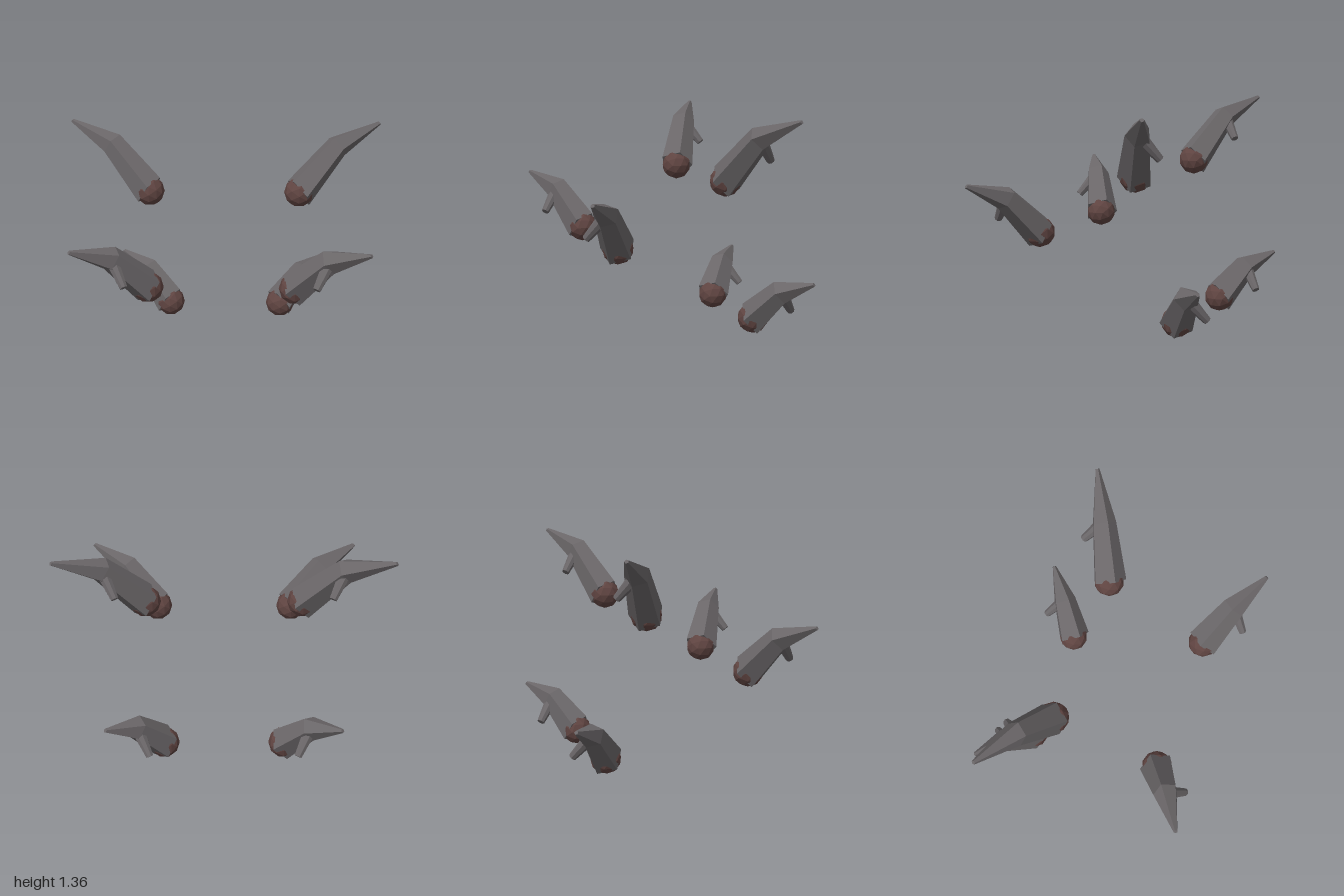
import * as THREE from 'three';

const SIDES = 5;
const hornMat = new THREE.MeshStandardMaterial({ color: 0x6a6668, flatShading: true });
const ballMat = new THREE.MeshStandardMaterial({ color: 0x5f4441, flatShading: true });

// Five-sided horn: rings of shrinking radius along base, bend and tip, capped at both ends
function hornGeometry(points, radii) {
  const dir = points[2].clone().sub(points[0]).normalize();
  const across = dir.clone().cross(new THREE.Vector3(0, 1, 0)).normalize();
  const up = across.clone().cross(dir);
  const pos = [];
  const index = [];
  points.forEach((p, i) => {
    for (let j = 0; j < SIDES; j++) {
      const a = (j / SIDES) * Math.PI * 2;
      const v = p.clone()
        .addScaledVector(across, Math.cos(a) * radii[i])
        .addScaledVector(up, Math.sin(a) * radii[i]);
      pos.push(v.x, v.y, v.z);
    }
  });
  const last = points.length - 1;
  pos.push(...points[0].toArray(), ...points[last].toArray());
  const baseCentre = points.length * SIDES;
  for (let j = 0; j < SIDES; j++) {
    const k = (j + 1) % SIDES;
    for (let i = 0; i < last; i++) {
      const a = i * SIDES + j, b = i * SIDES + k, c = a + SIDES, d = b + SIDES;
      index.push(a, c, b, b, c, d);
    }
    index.push(baseCentre, j, k);
    index.push(baseCentre + 1, last * SIDES + k, last * SIDES + j);
  }
  const g = new THREE.BufferGeometry();
  g.setAttribute('position', new THREE.Float32BufferAttribute(pos, 3));
  g.setIndex(index);
  const flat = g.toNonIndexed();
  flat.computeVertexNormals();
  return flat;
}

function add(group, name, geometry, material) {
  const mesh = new THREE.Mesh(geometry, material);
  mesh.name = name;
  group.add(mesh);
  return mesh;
}

// One spike: ball joint, bent horn and a small spur under the bend
function spike(name, base, tip) {
  const group = new THREE.Group();
  group.name = name;
  const span = tip.clone().sub(base);
  const bend = base.clone().lerp(tip, 0.47);
  bend.y += 0.13 * span.length();

  add(group, 'horn', hornGeometry([base, bend, tip], [0.108, 0.077, 0.013]), hornMat);
  add(group, 'ballJoint', new THREE.IcosahedronGeometry(0.095, 1), ballMat).position.copy(base);

  const spurDir = new THREE.Vector3(-0.08 * Math.sign(span.x), -0.14, 0.1 * Math.sign(span.z)).normalize();
  const length = 0.19;
  const spur = add(group, 'spur', new THREE.CylinderGeometry(0.024, 0.042, length, 8), hornMat);
  spur.quaternion.setFromUnitVectors(new THREE.Vector3(0, 1, 0), spurDir);
  spur.position.copy(bend).addScaledVector(spurDir, length / 2);
  return group;
}

export function createModel() {
  const model = new THREE.Group();
  model.name = 'spikes';
  // Three mirrored pairs: [name, base, tip] on the +x side
  const pairs = [
    ['upperSpike', [0.475, 0.968, -0.215], [0.99, 1.35, -0.48]],
    ['middleSpike', [0.44, 0.588, 0.44], [0.867, 0.91, 0.697]],
    ['lowerSpike', [0.37, 0.095, -0.44], [0.706, 0.353, -0.7]],
  ];
  for (const [name, b, t] of pairs) {
    for (const s of [1, -1]) {
      model.add(spike(
        (s > 0 ? 'left ' : 'right ') + name,
        new THREE.Vector3(b[0] * s, b[1], b[2]),
        new THREE.Vector3(t[0] * s, t[1], t[2]),
      ));
    }
  }
  return model;
}
